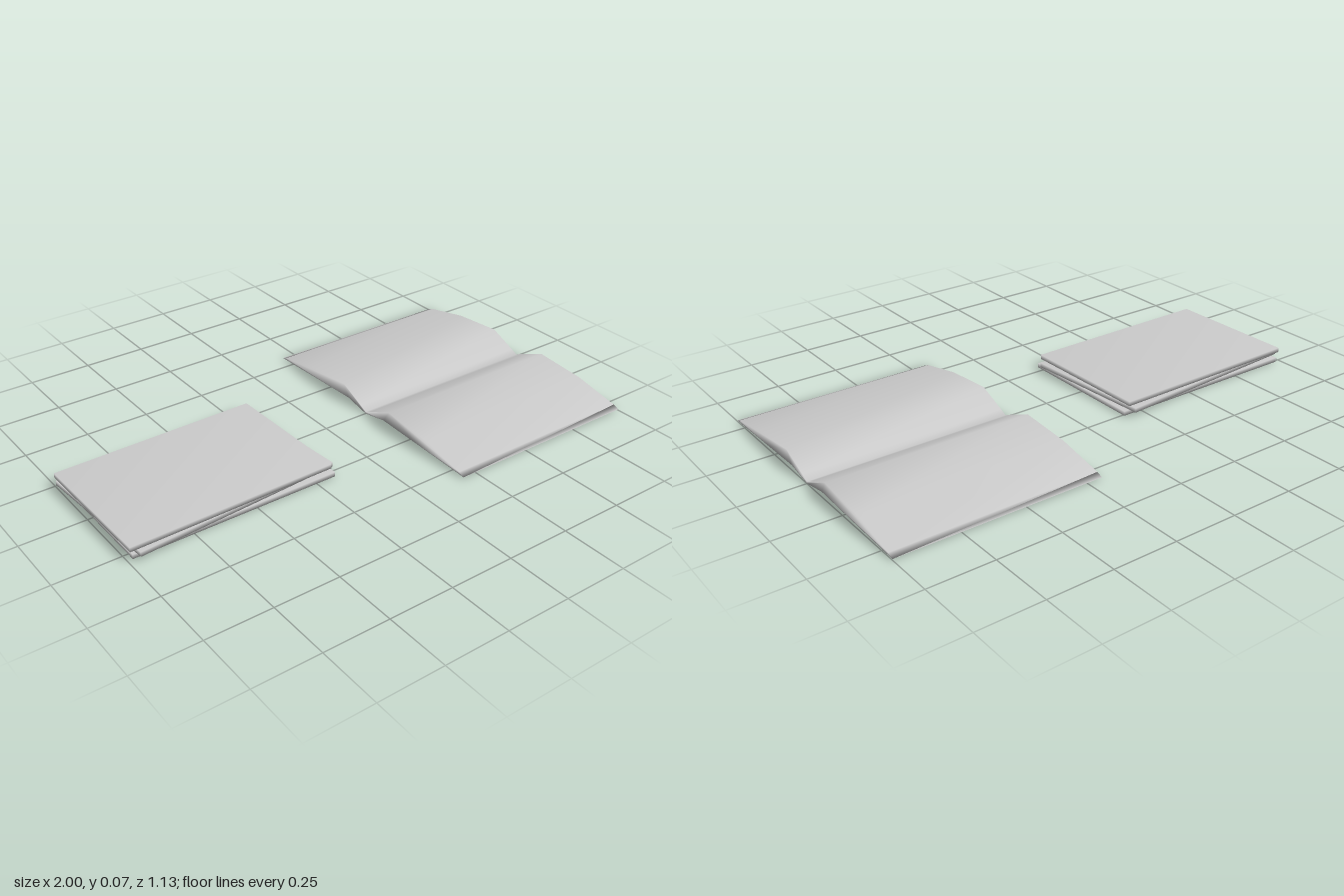
import * as THREE from 'three';
import { mergeVertices } from 'three/addons/utils/BufferGeometryUtils.js';

const material = new THREE.MeshStandardMaterial({ color: 0xcccccc });

// Weld corners so normals blend softly over the edges
function softMesh(geometry, name) {
  geometry.deleteAttribute('uv');
  geometry.deleteAttribute('normal');
  const welded = mergeVertices(geometry, 1e-4);
  welded.computeVertexNormals();
  const mesh = new THREE.Mesh(welded, material);
  mesh.name = name;
  return mesh;
}

const WIDTH = 0.81;

export function createModel() {
  const model = new THREE.Group();
  model.name = 'magazines';

  // Stack of three closed magazines: [x, z, turn], bottom to top
  const stack = new THREE.Group();
  stack.name = 'magazineStack';
  const thickness = 0.018;
  [[-0.575, 0.013, 0], [-0.58, 0.01, 0.075], [-0.59, 0.014, 0.015]].forEach(([x, z, turn], i) => {
    const closed = softMesh(new THREE.BoxGeometry(WIDTH, thickness, 0.54), 'closedMagazine' + (i + 1));
    closed.position.set(x, thickness * (i + 0.5), z);
    closed.rotation.y = turn;
    stack.add(closed);
  });
  model.add(stack);

  // Open magazine: arched pages either side of the fold, [distance from fold, height]
  const upper = [[0.03, 0.022], [0.14, 0.069], [0.35, 0.053], [0.54, 0.014], [0.565, 0.004]];
  const lower = [[0.3, 0.014], [0.11, 0.021]];
  const half = [...upper, ...lower];
  const outline = [
    [0, 0.008], ...half, [0, 0],
    ...half.slice().reverse().map(([d, y]) => [-d, y]),
  ].map(([d, y]) => new THREE.Vector2(d, y));

  const pages = new THREE.ExtrudeGeometry(new THREE.Shape(outline), {
    depth: WIDTH, bevelEnabled: false, steps: 1,
  });
  pages.rotateY(Math.PI / 2);
  pages.translate(0.19, 0, 0);
  model.add(softMesh(pages, 'openMagazine'));

  return model;
}
